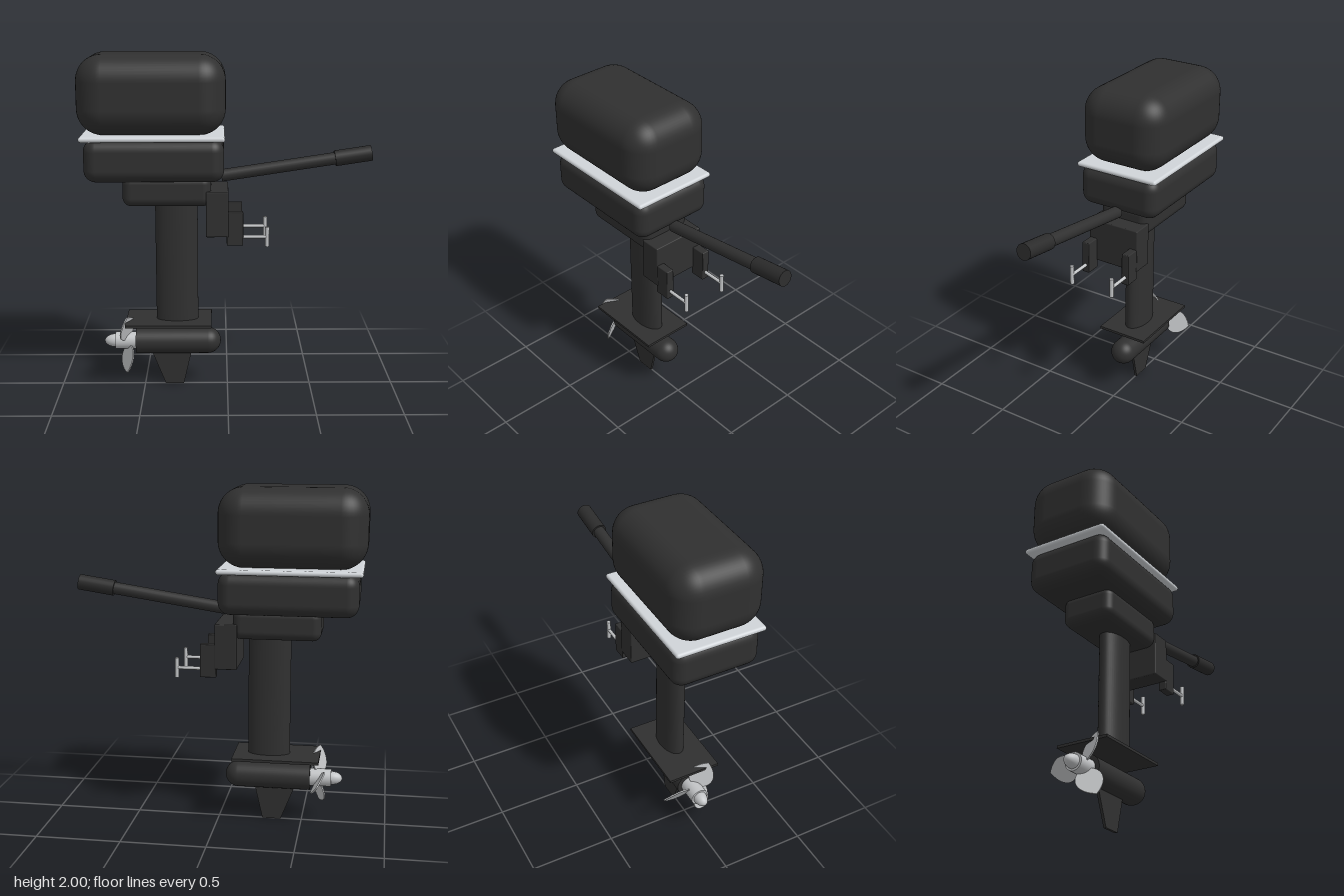
import * as THREE from 'three';
import { RoundedBoxGeometry } from 'three/addons/geometries/RoundedBoxGeometry.js';

const mat = (name, color) => new THREE.MeshStandardMaterial({ name, color });

export function createModel() {
  const black = mat('black paint', 0x303030);
  const rubber = mat('black rubber', 0x2b2b2b);
  const metal = mat('bare metal', 0xc2c4c6);
  const trim = mat('pale trim', 0xd0d4d8);
  const motor = new THREE.Group();
  motor.name = 'outboardMotor';

  const add = (name, geometry, material, parent = motor) => {
    const mesh = new THREE.Mesh(geometry, material);
    mesh.name = name;
    parent.add(mesh);
    return mesh;
  };
  // Box given by its x range, y range and z centre and width; r rounds the edges
  const box = (name, x0, x1, y0, y1, z, w, r, material, parent) => {
    const g = r
      ? new RoundedBoxGeometry(x1 - x0, y1 - y0, w, 6, r)
      : new THREE.BoxGeometry(x1 - x0, y1 - y0, w);
    const mesh = add(name, g, material, parent);
    mesh.position.set((x0 + x1) / 2, (y0 + y1) / 2, z);
    return mesh;
  };
  // Cylinder lying along x
  const rod = (name, x0, x1, y, z, r, material, parent) => {
    const g = new THREE.CylinderGeometry(r, r, x1 - x0, 24).rotateZ(-Math.PI / 2);
    const mesh = add(name, g, material, parent);
    mesh.position.set((x0 + x1) / 2, y, z);
    return mesh;
  };

  // Engine housing
  box('upperCowl', -0.855, -0.01, 1.545, 2, 0, 0.54, 0.15, black);
  box('trimBand', -0.835, -0.015, 1.52, 1.55, 0, 0.53, 0.0145, trim);
  box('lowerCowl', -0.815, -0.02, 1.285, 1.53, 0, 0.516, 0.07, black);
  box('swivelHousing', -0.605, -0.095, 1.13, 1.31, 0, 0.32, 0.05, black);

  // Oval leg and anti-ventilation plate
  const leg = add('leg', new THREE.CylinderGeometry(0.125, 0.125, 0.74, 48).scale(1, 1, 0.53), black);
  leg.position.set(-0.3, 0.78, 0);
  box('ventilationPlate', -0.605, -0.095, 0.402, 0.418, 0, 0.32, 0, black);

  // Gearcase: flat at the back, round at the nose
  const R = 0.078;
  const casing = [[0, -0.55], [R, -0.55], [R, -0.55]].map(p => new THREE.Vector2(...p));
  for (let i = 0; i <= 12; i++) {
    const a = (i / 12) * Math.PI / 2;
    casing.push(new THREE.Vector2(R * Math.cos(a), -0.04 - R + R * Math.sin(a)));
  }
  add('gearcase', new THREE.LatheGeometry(casing, 40).rotateZ(-Math.PI / 2), black).position.y = 0.275;

  // Skeg fin
  const fin = new THREE.Shape([[-0.375, 0], [-0.265, 0], [-0.215, 0.215], [-0.46, 0.215]]
    .map(p => new THREE.Vector2(...p)));
  add('skeg', new THREE.ExtrudeGeometry(fin, { depth: 0.016, bevelEnabled: false }), black).position.z = -0.008;

  // Propeller
  const propeller = new THREE.Group();
  propeller.name = 'propeller';
  propeller.position.set(-0.6, 0.275, 0);
  motor.add(propeller);
  rod('hub', -0.075, 0.055, 0, 0, 0.052, metal, propeller);
  const nose = add('noseCone', new THREE.SphereGeometry(0.04, 24, 16), metal, propeller);
  nose.scale.x = 1.7;
  nose.position.x = -0.073;

  const outline = new THREE.Shape();
  outline.moveTo(0.03, -0.025);
  outline.bezierCurveTo(0.07, -0.1, 0.15, -0.085, 0.198, 0);
  outline.bezierCurveTo(0.15, 0.085, 0.07, 0.1, 0.03, 0.025);
  outline.closePath();
  const toAxis = new THREE.Matrix4().makeBasis(
    new THREE.Vector3(0, 1, 0), new THREE.Vector3(0, 0, 1), new THREE.Vector3(1, 0, 0));
  for (let i = 0; i < 3; i++) {
    const g = new THREE.ExtrudeGeometry(outline, { depth: 0.008, bevelEnabled: false, curveSegments: 16 });
    g.translate(0, 0, -0.004).applyMatrix4(toAxis);
    g.rotateY(-0.55).rotateX(Math.PI / 6 + i * Math.PI * 2 / 3);
    add('blade' + (i + 1), g, metal, propeller);
  }

  // Transom bracket with two clamp screws
  box('transomBracket', -0.125, 0.005, 0.955, 1.22, 0, 0.33, 0.006, black);
  for (const s of [-1, 1]) {
    const clamp = new THREE.Group();
    clamp.name = s > 0 ? 'frontClamp' : 'rearClamp';
    motor.add(clamp);
    const z = s * 0.138;
    box('clampJaw', -0.005, 0.09, 0.905, 1.1, z, 0.048, 0.005, black, clamp);
    rod('clampScrew', 0.08, 0.23, 0.953, z, 0.01, metal, clamp);
    const bar = add('clampHandle', new THREE.CylinderGeometry(0.012, 0.012, 0.116, 20), metal, clamp);
    bar.position.set(0.229, 0.953, z);
  }

  // Tiller arm and grip, raised slightly outward
  const tiller = new THREE.Group();
  tiller.name = 'tiller';
  tiller.position.set(-0.035, 1.288, 0);
  tiller.rotation.z = 0.15;
  motor.add(tiller);
  rod('tillerArm', 0, 0.69, 0, 0, 0.036, black, tiller);
  rod('tillerGrip', 0.67, 0.885, 0, 0, 0.046, rubber, tiller);

  return motor;
}
